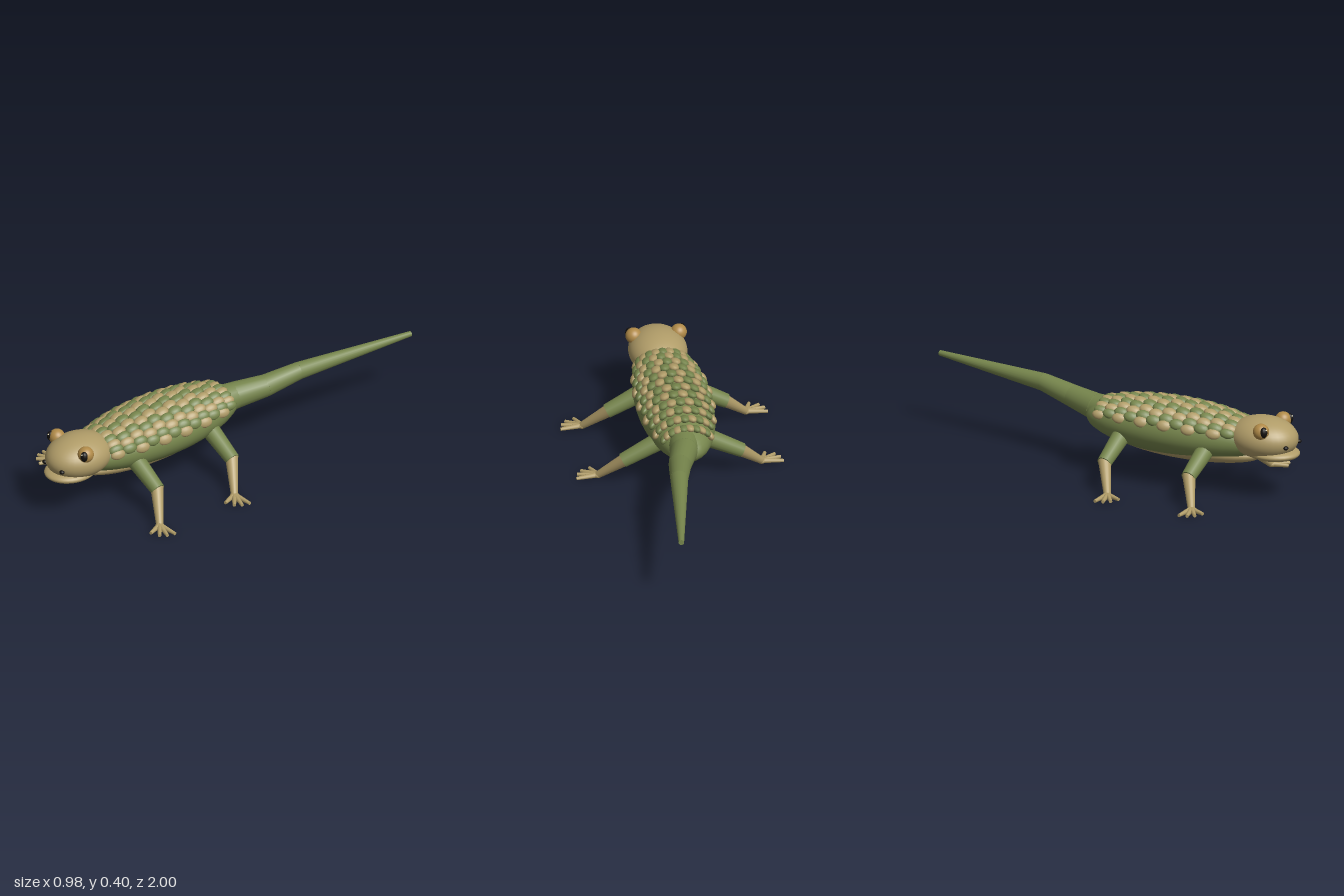
import * as THREE from 'three';

const mat = (name, color) => Object.assign(new THREE.MeshStandardMaterial({ color }), { name });

export function createModel() {
  const tan = mat('tan skin', 0xb09c68);
  const olive = mat('olive skin', 0x76854c);
  const gold = mat('gold eye', 0xb08a48);
  const black = mat('black', 0x14110e);
  const shine = mat('eye shine', 0xe8dfc0);

  const model = new THREE.Group();
  model.name = 'lizard';

  const ball = new THREE.SphereGeometry(1, 36, 24);
  const pebble = new THREE.SphereGeometry(1, 12, 8);

  // Ellipsoid part
  function blob(name, material, pos, radii, parent = model, geometry = ball) {
    const m = new THREE.Mesh(geometry, material);
    m.name = name;
    m.position.set(...pos);
    m.scale.set(...radii);
    parent.add(m);
    return m;
  }

  // Tapered cylinder from point a to point b
  function limb(name, material, a, b, ra, rb, parent = model, sides = 20) {
    const from = new THREE.Vector3(...a), to = new THREE.Vector3(...b);
    const dir = to.clone().sub(from);
    const m = new THREE.Mesh(new THREE.CylinderGeometry(rb, ra, dir.length(), sides), material);
    m.name = name;
    m.position.copy(from).add(to).multiplyScalar(0.5);
    m.quaternion.setFromUnitVectors(new THREE.Vector3(0, 1, 0), dir.normalize());
    parent.add(m);
    return m;
  }

  // Trunk
  const body = { y: 0.26, z: 0.37, rx: 0.178, ry: 0.125, rz: 0.48 };
  blob('body', olive, [0, body.y, body.z], [body.rx, body.ry, body.rz]);
  blob('belly', tan, [0, 0.19, 0.42], [0.13, 0.063, 0.39]);

  // Head and jaw
  blob('head', tan, [0, 0.285, 0.82], [0.137, 0.1, 0.17]);
  blob('jaw', tan, [0, 0.219, 0.87], [0.11, 0.034, 0.13]);

  for (const s of [-1, 1]) {
    const eye = new THREE.Group();
    eye.name = s > 0 ? 'leftEye' : 'rightEye';
    model.add(eye);
    blob('eyeball', gold, [s * 0.106, 0.346, 0.865], [0.038, 0.038, 0.038], eye);
    blob('pupil', black, [s * 0.124, 0.35, 0.888], [0.018, 0.025, 0.018], eye, pebble);
    blob('glint', shine, [s * 0.124, 0.363, 0.902], [0.004, 0.004, 0.004], eye, pebble);
    blob('nostril', black, [s * 0.063, 0.27, 0.972], [0.013, 0.01, 0.012], model, pebble);
  }

  // Tail: tapered segments bending to the left
  const tail = [
    [0, 0.262, 0.1, 0.088], [0.028, 0.282, -0.08, 0.064], [0.072, 0.299, -0.23, 0.053],
    [0.104, 0.33, -0.4, 0.042], [0.195, 0.352, -0.999, 0.013],
  ];
  for (let i = 0; i < tail.length - 1; i++) {
    const [a, b] = [tail[i], tail[i + 1]];
    limb('tailSegment', olive, a.slice(0, 3), b.slice(0, 3), a[3], b[3]);
    if (i > 0) blob('tailJoint', olive, a.slice(0, 3), [a[3] * 0.985, a[3] * 0.985, a[3] * 0.985]);
  }

  // Legs with splayed toes
  const toes = [[0.487, -0.01], [0.478, 0.028], [0.455, 0.057], [0.412, 0.075]];
  for (const [label, z] of [['front', 0.575], ['back', 0.13]]) {
    for (const s of [-1, 1]) {
      const leg = new THREE.Group();
      leg.name = label + (s > 0 ? 'LeftLeg' : 'RightLeg');
      model.add(leg);
      const ankle = [s * 0.385, 0.016, z + 0.075];
      limb('upperLeg', olive, [s * 0.1, 0.222, z], [s * 0.28, 0.128, z], 0.044, 0.034, leg);
      limb('lowerLeg', tan, [s * 0.265, 0.138, z - 0.005], ankle, 0.031, 0.017, leg);
      blob('ankle', tan, ankle, [0.02, 0.015, 0.02], leg, pebble);
      for (const [x, dz] of toes) {
        limb('toe', tan, ankle, [s * x, 0.011, z + 0.075 + dz], 0.014, 0.008, leg, 10);
      }
    }
  }

  // Overlapping scales over the back, every other row shifted half a step
  const scales = new THREE.Group();
  scales.name = 'backScales';
  model.add(scales);
  const rows = 12, perRow = 10, step = 0.25;
  for (let i = 0; i < rows; i++) {
    const z = 0.012 + i * 0.0615;
    const f = Math.sqrt(1 - ((z - body.z) / body.rz) ** 2);
    for (let j = 0; j < perRow; j++) {
      const a = (j - (perRow - 1) / 2 + (i % 2) * 0.5) * step;
      const pos = [body.rx * f * Math.sin(a), body.y + body.ry * f * Math.cos(a), z];
      const m = blob('scale', (i + j) % 2 ? olive : tan, pos,
        [0.017 + 0.01 * f, 0.017, 0.037], scales, pebble);
      m.rotation.set(0.3, 0, -a, 'ZXY');
    }
  }

  return model;
}
